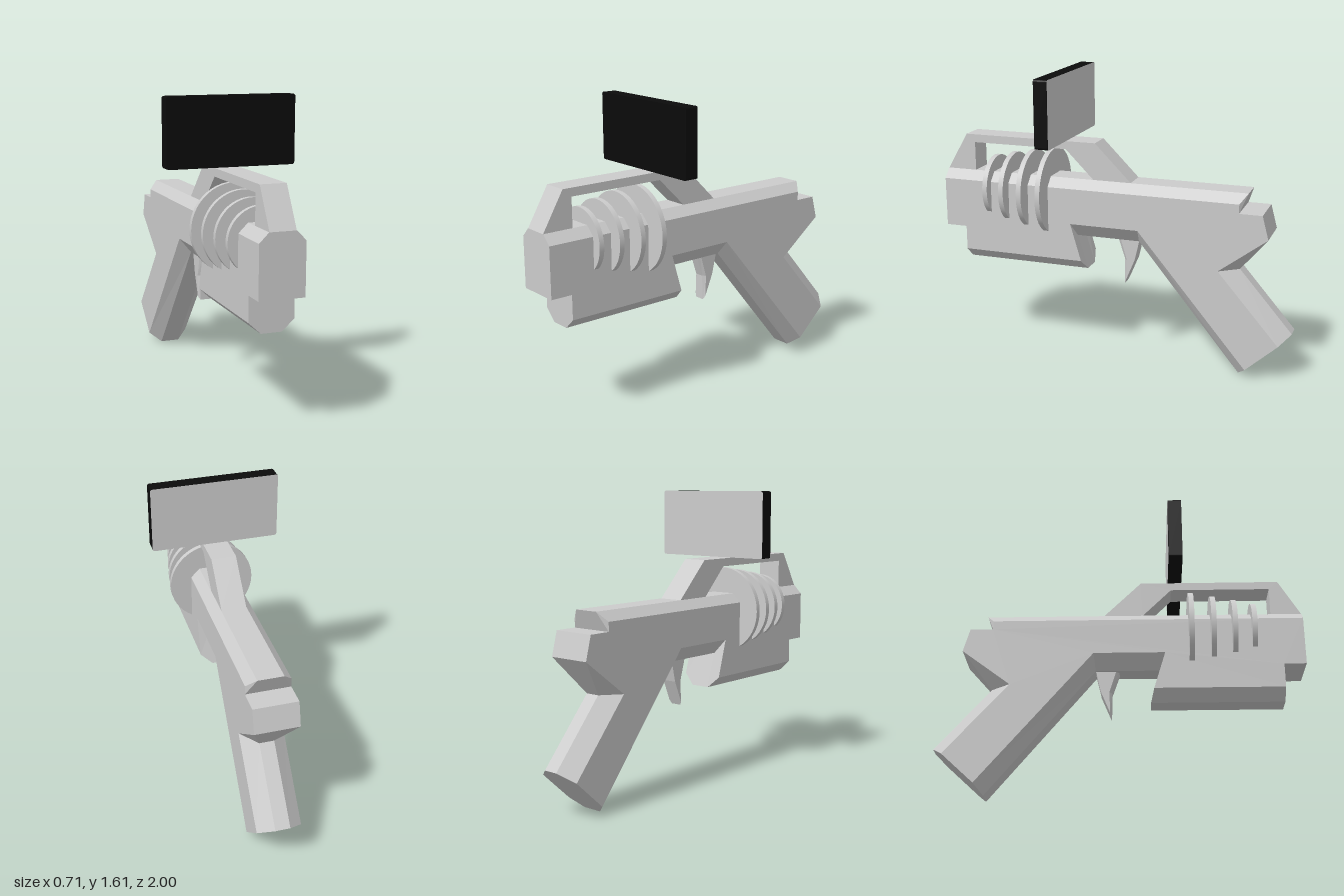
import * as THREE from 'three';

const grey = new THREE.MeshStandardMaterial({ color: 0xcccccc, flatShading: true });
const smoothGrey = new THREE.MeshStandardMaterial({ color: 0xcccccc });
const black = new THREE.MeshStandardMaterial({ color: 0x0b0b0b });

function add(parent, name, geometry, material = grey) {
  const mesh = new THREE.Mesh(geometry, material);
  mesh.name = name;
  parent.add(mesh);
  return mesh;
}

// Slab across x with bevelled rims. Each row is [z, y] of the side face's outline,
// optionally followed by [z, y, halfWidth] of the inner edge of the bevel.
// Rows run counter-clockwise with z to the right and y up.
function bevelledSlab(rows, half) {
  const out = [];
  const rings = rows.map(([z, y, bz = z, by = y, bh = half]) => [
    [-half, y, z], [-bh, by, bz], [bh, by, bz], [half, y, z],
  ]);
  rings.forEach((a, i) => {
    const b = rings[(i + 1) % rings.length];
    for (let k = 0; k < 3; k++) {
      out.push(a[k], a[k + 1], b[k + 1], a[k], b[k + 1], b[k]);
    }
  });
  const outline = rows.map(([z, y]) => new THREE.Vector2(z, y));
  for (const [i, j, k] of THREE.ShapeUtils.triangulateShape(outline, [])) {
    out.push(rings[i][0], rings[j][0], rings[k][0]);
    out.push(rings[i][3], rings[k][3], rings[j][3]);
  }
  const geometry = new THREE.BufferGeometry();
  geometry.setAttribute('position', new THREE.Float32BufferAttribute(out.flat(), 3));
  geometry.computeVertexNormals();
  return geometry;
}

// Rectangle with small rounded corners
function panelShape(w, h, r) {
  const s = new THREE.Shape();
  s.absarc(w / 2 - r, h / 2 - r, r, 0, Math.PI / 2);
  s.absarc(-w / 2 + r, h / 2 - r, r, Math.PI / 2, Math.PI);
  s.absarc(-w / 2 + r, -h / 2 + r, r, Math.PI, Math.PI * 1.5);
  s.absarc(w / 2 - r, -h / 2 + r, r, Math.PI * 1.5, Math.PI * 2);
  s.closePath();
  return s;
}

export function createModel() {
  const model = new THREE.Group();
  model.name = 'blaster';
  const gun = new THREE.Group();
  gun.name = 'gun';
  gun.position.x = -0.004;
  model.add(gun);

  // Barrel housing, rear block and slanted grip in one bevelled piece
  add(gun, 'bodyAndGrip', bevelledSlab([
    [1, 0.98, 1, 1.03, 0.07],
    [-0.705, 0.98, -0.743, 1.03, 0.07],
    [-0.705, 0.93],
    [-0.83, 0.93],
    [-0.865, 0.8],
    [-0.6, 0.6, -0.705, 0.6, 0.04],
    [-0.94, 0.21, -1, 0.26, 0.04],
    [-0.765, 0.05, -0.717, 0, 0.055],
    [-0.15, 0.78, -0.14, 0.7, 0.055],
    [0.24, 0.78, 0.22, 0.7, 0.055],
    [0.178, 0.57, 0.16, 0.51, 0.055],
    [0.88, 0.57, 0.88, 0.51, 0.055],
    [0.88, 0.705],
    [1, 0.705],
  ], 0.12));

  // Open rail over the barrel
  add(gun, 'topRail', bevelledSlab([
    [1, 1.03], [0.88, 1.235], [0.11, 1.235], [-0.095, 1.03],
    [0.12, 1.03], [0.28, 1.19], [0.83, 1.19], [0.83, 1.03],
  ], 0.069));

  // Trigger tapering to a point
  add(gun, 'trigger', bevelledSlab([
    [-0.02, 0.73, 0, 0.73, 0.025],
    [-0.065, 0.58, -0.05, 0.58, 0.025],
    [-0.06, 0.46, -0.052, 0.44, 0.03],
    [-0.11, 0.58],
    [-0.145, 0.73],
  ].reverse(), 0.042).scale(1, 1, 1));

  // Cooling fins growing toward the rear
  [[0.73, 0.175], [0.622, 0.198], [0.505, 0.22], [0.385, 0.24]].forEach(([z, r], i) => {
    const fin = add(gun, `coolingFin${i + 1}`, new THREE.CylinderGeometry(r, r, 0.028, 48), smoothGrey);
    fin.rotation.x = Math.PI / 2;
    fin.position.set(0, 0.935, z);
  });

  // Display panel with a plain back plate
  const display = new THREE.Group();
  display.name = 'display';
  display.position.set(0, 1.428, 0.265);
  model.add(display);
  const shape = panelShape(0.706, 0.368, 0.012);
  add(display, 'displayScreen', new THREE.ExtrudeGeometry(shape, { depth: 0.075, bevelEnabled: false, curveSegments: 4 }), black);
  const back = add(display, 'displayBack', new THREE.ShapeGeometry(shape, 4), smoothGrey);
  back.rotation.y = Math.PI;
  back.position.z = -0.002;

  return model;
}
